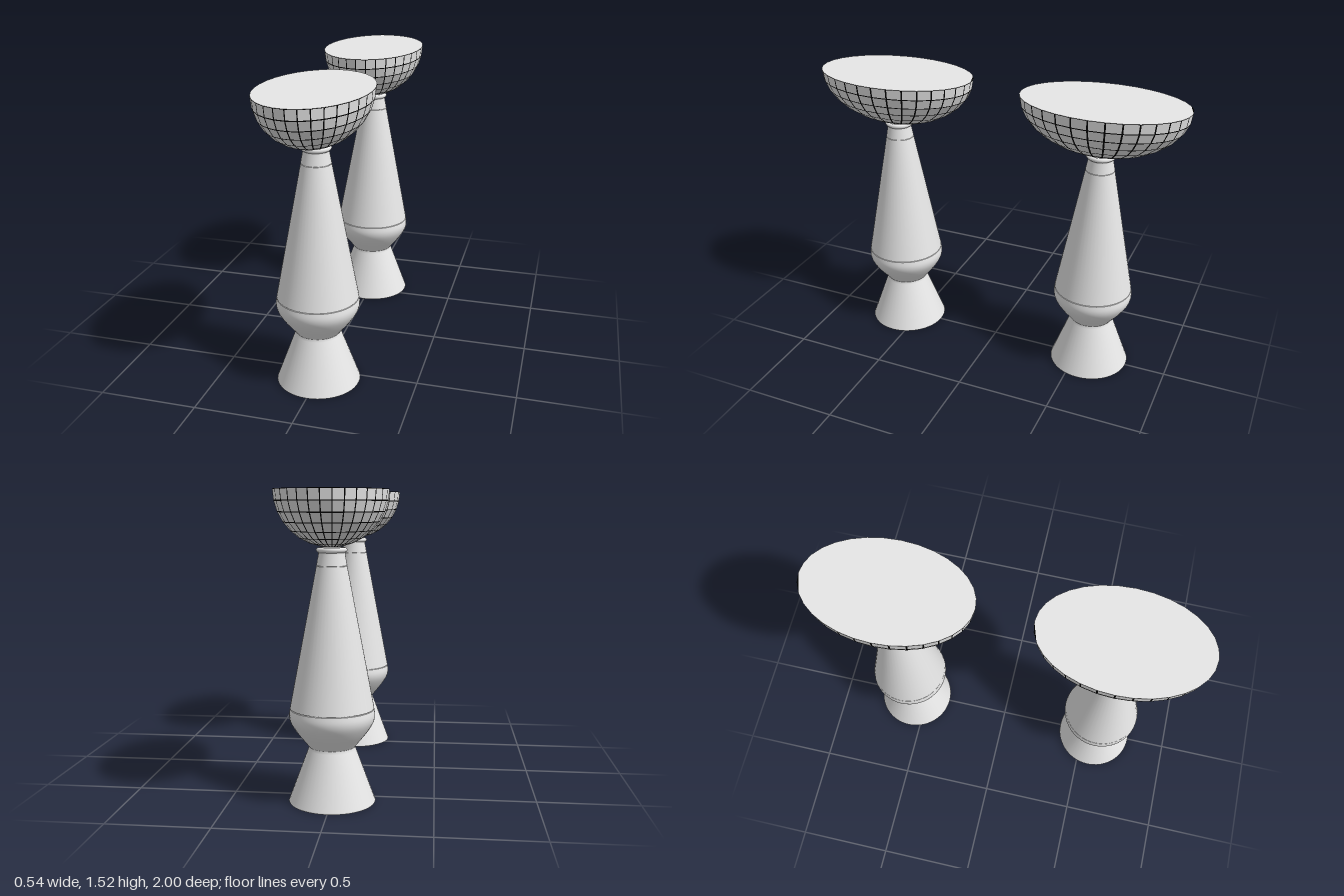
import * as THREE from 'three';

const V = (p) => new THREE.Vector2(p[0], p[1]);
const BOWL = [0.272, 0.272, 0.43];
const COLS = 32, ROWS = 8;

// Surface of revolution from [radius, height] pairs
function turned(name, points, material) {
  const mesh = new THREE.Mesh(new THREE.LatheGeometry(points.map(V), 48), material);
  mesh.name = name;
  return mesh;
}

// Point on the lower unit hemisphere: column i around, row j down from the rim
function onSphere(i, j) {
  const a = (i / COLS) * Math.PI * 2, b = (j / ROWS) * Math.PI / 2;
  return new THREE.Vector3(Math.cos(a) * Math.cos(b), -Math.sin(b), Math.sin(a) * Math.cos(b));
}

function flatGeometry(points) {
  const geometry = new THREE.BufferGeometry().setFromPoints(points).scale(...BOWL);
  geometry.computeVertexNormals();
  return geometry;
}

// Faceted shell: every facet is a grey panel framed by a narrow black seam
function makeShell(grey, black) {
  const panels = [], seams = [], width = 0.01;
  const quad = (list, a, b, c, d) => list.push(a, b, c, a, c, d);
  for (let i = 0; i < COLS; i++) {
    for (let j = 0; j < ROWS; j++) {
      const outer = [onSphere(i, j), onSphere(i + 1, j), onSphere(i + 1, j + 1), onSphere(i, j + 1)];
      const [a, b, c, d] = outer;
      const v = width / a.distanceTo(d);
      const row = (t) => {
        const left = a.clone().lerp(d, t), right = b.clone().lerp(c, t);
        const u = Math.min(0.3, width / left.distanceTo(right));
        return [left.clone().lerp(right, u), right.clone().lerp(left, u)];
      };
      const top = row(v), bottom = row(1 - v);
      const inner = [top[0], top[1], bottom[1], bottom[0]];
      quad(panels, ...inner);
      for (let k = 0; k < 4; k++) {
        const n = (k + 1) % 4;
        quad(seams, outer[k], outer[n], inner[n], inner[k]);
      }
    }
  }
  const panelMesh = new THREE.Mesh(flatGeometry(panels), grey);
  panelMesh.name = 'bowlPanels';
  const seamMesh = new THREE.Mesh(flatGeometry(seams), black);
  seamMesh.name = 'bowlSeams';
  return [panelMesh, seamMesh];
}

// Half ellipsoid with a flat lid
function makeBowl(grey, black) {
  const bowl = new THREE.Group();
  bowl.name = 'bowl';
  const lid = new THREE.Mesh(
    new THREE.CircleGeometry(1, COLS).rotateX(-Math.PI / 2).scale(...BOWL), grey);
  lid.name = 'bowlTop';

  // Dark sliver at the back edge of the lid
  const sliver = new THREE.Mesh(
    flatGeometry([24, 23, 22].map((i) => onSphere(i, 0))), black);
  sliver.name = 'lidGap';
  sliver.position.y = 0.001;

  bowl.add(...makeShell(grey, black), lid, sliver);
  bowl.position.y = 1.515;
  return bowl;
}

function makePedestal(name, z, grey, black) {
  const pedestal = new THREE.Group();
  pedestal.name = name;

  // Swelling between the waist and the tapered column
  const belly = new THREE.SplineCurve(
    [[0.112, 0.275], [0.132, 0.3], [0.172, 0.35], [0.2, 0.395], [0.209, 0.43], [0.205, 0.464]].map(V)
  ).getPoints(20).map((p) => [p.x, p.y]);

  pedestal.add(
    turned('footRim', [[0.211, 0], [0.213, 0.004], [0.211, 0.008]], grey),
    turned('footAndBelly', [[0.211, 0.008], [0.117, 0.262], ...belly], grey),
    // Fine grooves where the turned pieces meet
    turned('lowerGroove', [[0.205, 0.464], [0.2, 0.465], [0.2, 0.467], [0.205, 0.468]], grey),
    turned('column', [[0.205, 0.468], [0.074, 1.154]], grey),
    turned('upperGroove', [[0.074, 1.154], [0.071, 1.155], [0.071, 1.156], [0.074, 1.157]], grey),
    turned('neck', [[0.074, 1.157], [0.064, 1.21], [0.064, 1.218]], grey),
    // Small rounded collar under the bowl
    turned('collar', [[0.064, 1.218], [0.071, 1.223], [0.075, 1.231], [0.071, 1.239],
      [0.062, 1.243]], grey),
    makeBowl(grey, black)
  );
  pedestal.position.z = z;
  return pedestal;
}

export function createModel() {
  const model = new THREE.Group();
  model.name = 'pedestalBowls';
  const grey = new THREE.MeshStandardMaterial({ color: 0xe7e7e7, side: THREE.DoubleSide });
  grey.name = 'light grey';
  const black = new THREE.MeshStandardMaterial({ color: 0x000000, side: THREE.DoubleSide });
  black.name = 'black';
  model.add(
    makePedestal('frontPedestal', 0.57, grey, black),
    makePedestal('backPedestal', -0.57, grey, black)
  );
  return model;
}
